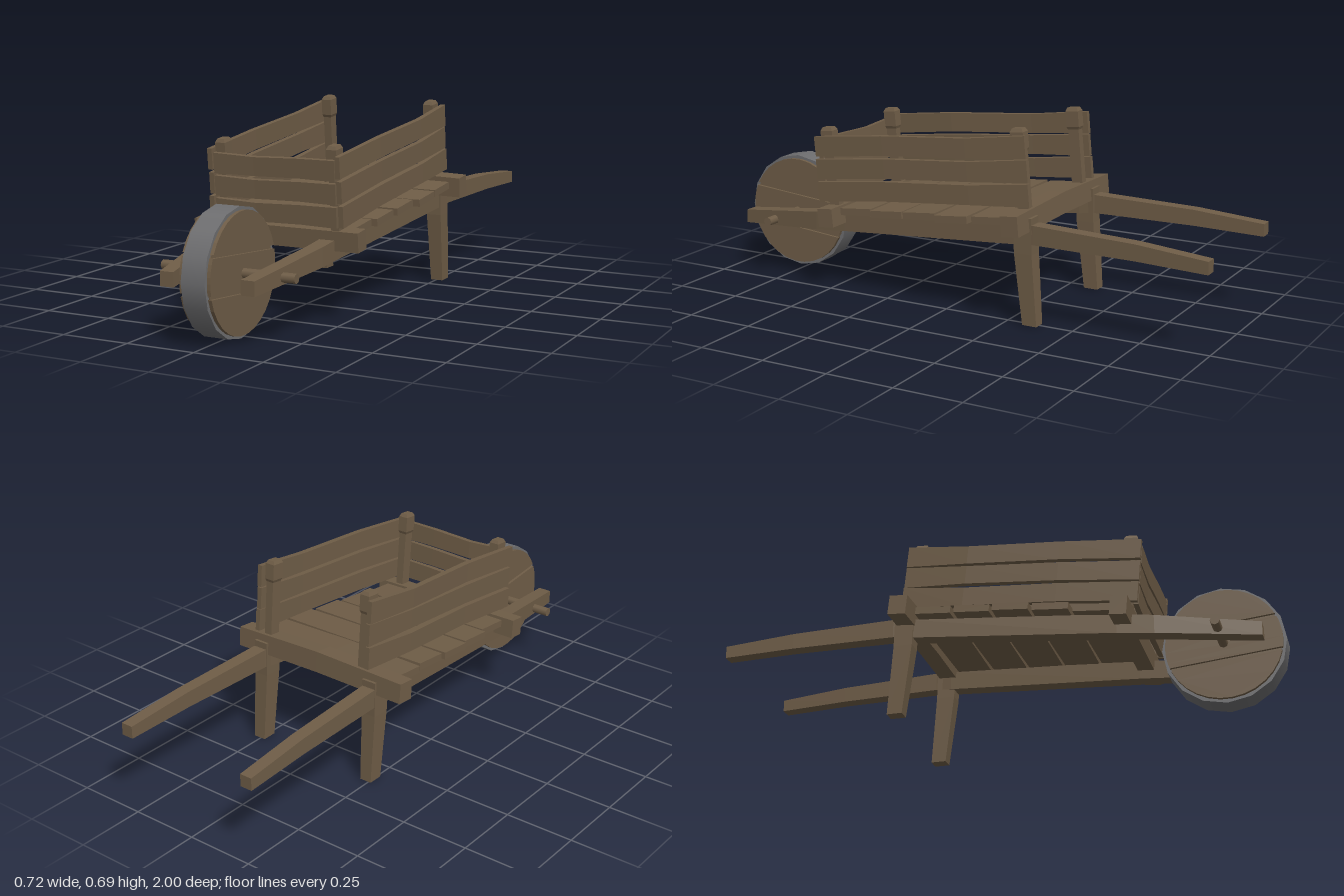
import * as THREE from 'three';

const wood = new THREE.MeshStandardMaterial({ color: 0x6f5d47 });
wood.name = 'weathered wood';
const iron = new THREE.MeshStandardMaterial({ color: 0x6e6e70 });
iron.name = 'iron grey';

// Small repeatable variation for rough-cut timber
let seed = 7;
const vary = (amount) => {
  seed = (seed * 16807) % 2147483647;
  return (seed / 2147483647 - 0.5) * 2 * amount;
};

// Rectangular timber lofted along an axis through ascending sections
// [x, y, z, w, h]; w and h lie along (x,y) for z, (z,x) for y, (y,z) for x
function timber(name, axis, sections) {
  const [u, v] = { z: [0, 1], y: [2, 0], x: [1, 2] }[axis];
  const rings = sections.map(([x, y, z, w, h]) =>
    [[-1, -1], [1, -1], [1, 1], [-1, 1]].map(([a, b]) => {
      const p = [x, y, z];
      p[u] += (a * w) / 2;
      p[v] += (b * h) / 2;
      return p;
    }));
  const pos = [];
  const quad = (a, b, c, d) => pos.push(...a, ...b, ...c, ...a, ...c, ...d);
  for (let s = 0; s < rings.length - 1; s++) {
    for (let i = 0; i < 4; i++) {
      const j = (i + 1) % 4;
      quad(rings[s][i], rings[s][j], rings[s + 1][j], rings[s + 1][i]);
    }
  }
  const first = rings[0], last = rings[rings.length - 1];
  quad(first[0], first[3], first[2], first[1]);
  quad(...last);
  const geo = new THREE.BufferGeometry();
  geo.setAttribute('position', new THREE.Float32BufferAttribute(pos, 3));
  geo.computeVertexNormals();
  const mesh = new THREE.Mesh(geo, wood);
  mesh.name = name;
  return mesh;
}

function createWheel() {
  const wheel = new THREE.Group();
  wheel.name = 'wheel';
  const cylinder = (name, r, length, sides, mat) => {
    const geo = new THREE.CylinderGeometry(r, r, length, sides);
    geo.rotateZ(Math.PI / 2);
    const mesh = new THREE.Mesh(geo, mat);
    mesh.name = name;
    wheel.add(mesh);
  };
  cylinder('tyre', 0.218, 0.088, 16, iron);
  cylinder('wheelCore', 0.203, 0.094, 16, wood);
  cylinder('axle', 0.017, 0.5, 8, wood);

  // Three planks cut to the wheel's circle, with grooves between
  const r = 0.205;
  for (const [low, high] of [[-r, -0.067], [-0.055, 0.063], [0.075, r]]) {
    const a0 = Math.asin(low / r), a1 = Math.asin(high / r);
    const pts = [];
    for (let side = 0; side < 2; side++) {
      for (let i = 0; i <= 6; i++) {
        const a = a0 + ((a1 - a0) * i) / 6;
        const t = side ? Math.PI - (a0 + a1 - a) : a;
        pts.push(new THREE.Vector2(Math.cos(t) * r, Math.sin(t) * r));
      }
    }
    const outline = pts.filter((p, i) => p.distanceTo(pts[(i + 1) % pts.length]) > 1e-5);
    const geo = new THREE.ExtrudeGeometry(new THREE.Shape(outline), { depth: 0.114, bevelEnabled: false });
    geo.translate(0, 0, -0.057);
    geo.rotateZ(0.09);
    geo.rotateY(-Math.PI / 2);
    const plank = new THREE.Mesh(geo, wood);
    plank.name = 'wheelPlank';
    wheel.add(plank);
  }
  wheel.position.set(0, 0.221, 0.782);
  return wheel;
}

export function createModel() {
  const model = new THREE.Group();
  model.name = 'wheelbarrow';
  model.add(createWheel());

  for (const s of [-1, 1]) {
    const off = s < 0 ? 0 : 0.016;
    const x = (d) => s * d + off;
    // Long rail running from axle to handle
    model.add(timber('railAndHandle', 'z', [
      [x(0.255), 0.312, -1, 0.046, 0.045],
      [x(0.248), 0.326, -0.74, 0.048, 0.058],
      [x(0.238), 0.331, -0.36, 0.053, 0.068],
      [x(0.232), 0.325, -0.3, 0.055, 0.07],
      [x(0.195), 0.265, 0.44, 0.057, 0.072],
      [x(0.188), 0.25, 0.57, 0.055, 0.068],
      [x(0.141), 0.21, 0.93, 0.05, 0.05],
    ]));
    // Rear leg
    model.add(timber('leg', 'y', [
      [x(0.238), 0.004, -0.347, 0.055, 0.046],
      [x(0.237), 0.26, -0.322, 0.068, 0.056],
      [x(0.236), 0.388, -0.318, 0.07, 0.056],
    ]));
  }

  // Sloping bed: y points away from the floor, z runs along it
  const bed = new THREE.Group();
  bed.name = 'bed';
  bed.position.y = 0.345;
  bed.rotation.x = 0.096;
  model.add(bed);

  // Cross beams under each end
  bed.add(timber('rearCrossBeam', 'x', [
    [-0.363, -0.002, -0.312, 0.072, 0.066],
    [0, 0.006, -0.312, 0.076, 0.07],
    [0.36, -0.002, -0.312, 0.072, 0.066],
  ]));
  bed.add(timber('frontCrossBeam', 'x', [
    [-0.306, -0.006, 0.468, 0.07, 0.06],
    [0.324, -0.006, 0.468, 0.068, 0.062],
  ]));

  // Floor planks
  const ends = [[-0.294, 0.32], [-0.288, 0.325], [-0.294, 0.304], [-0.283, 0.294], [-0.262, 0.278]];
  ends.forEach(([left, right], i) => {
    const z = -0.207 + i * 0.143;
    bed.add(timber('floorPlank', 'x', [
      [left, 0.008 + vary(0.003), z + vary(0.003), 0.026, 0.13],
      [0, 0.008, z, 0.03, 0.137],
      [right, 0.008 + vary(0.003), z + vary(0.003), 0.026, 0.13],
    ]));
  });

  // Corner posts with chamfered heads
  for (const px of [-0.185, 0.238]) {
    for (const pz of [-0.312, 0.472]) {
      bed.add(timber('cornerPost', 'y', [
        [px, -0.02, pz, 0.042, 0.03],
        [px, 0.235, pz, 0.042, 0.03],
        [px, 0.245, pz, 0.05, 0.038],
        [px, 0.303, pz, 0.05, 0.038],
        [px, 0.315, pz, 0.038, 0.026],
      ]));
    }
  }

  for (let row = 0; row < 3; row++) {
    const y = 0.086 + row * 0.083;
    // Side boards, slightly warped
    for (const [s, x] of [[-1, -0.217], [1, 0.27]]) {
      bed.add(timber('sideBoard', 'z', [
        [x + s * vary(0.004), y + 0.002, -0.352, 0.018, 0.08],
        [x + s * (0.004 + vary(0.003)), y + vary(0.003), -0.12, 0.022, 0.07],
        [x + s * vary(0.004), y + 0.003, 0.22, 0.022, 0.071],
        [x + s * vary(0.003), y - 0.004, 0.515, 0.018, 0.074],
      ]));
    }
    // Front boards, slightly sagging
    const fy = 0.078 + row * 0.079;
    bed.add(timber('frontBoard', 'x', [
      [-0.203, fy, 0.506, 0.07, 0.018],
      [-0.05, fy - 0.004, 0.5, 0.065, 0.022],
      [0.12, fy + 0.001, 0.503, 0.067, 0.022],
      [0.256, fy, 0.506, 0.071, 0.018],
    ]));
  }
  return model;
}
